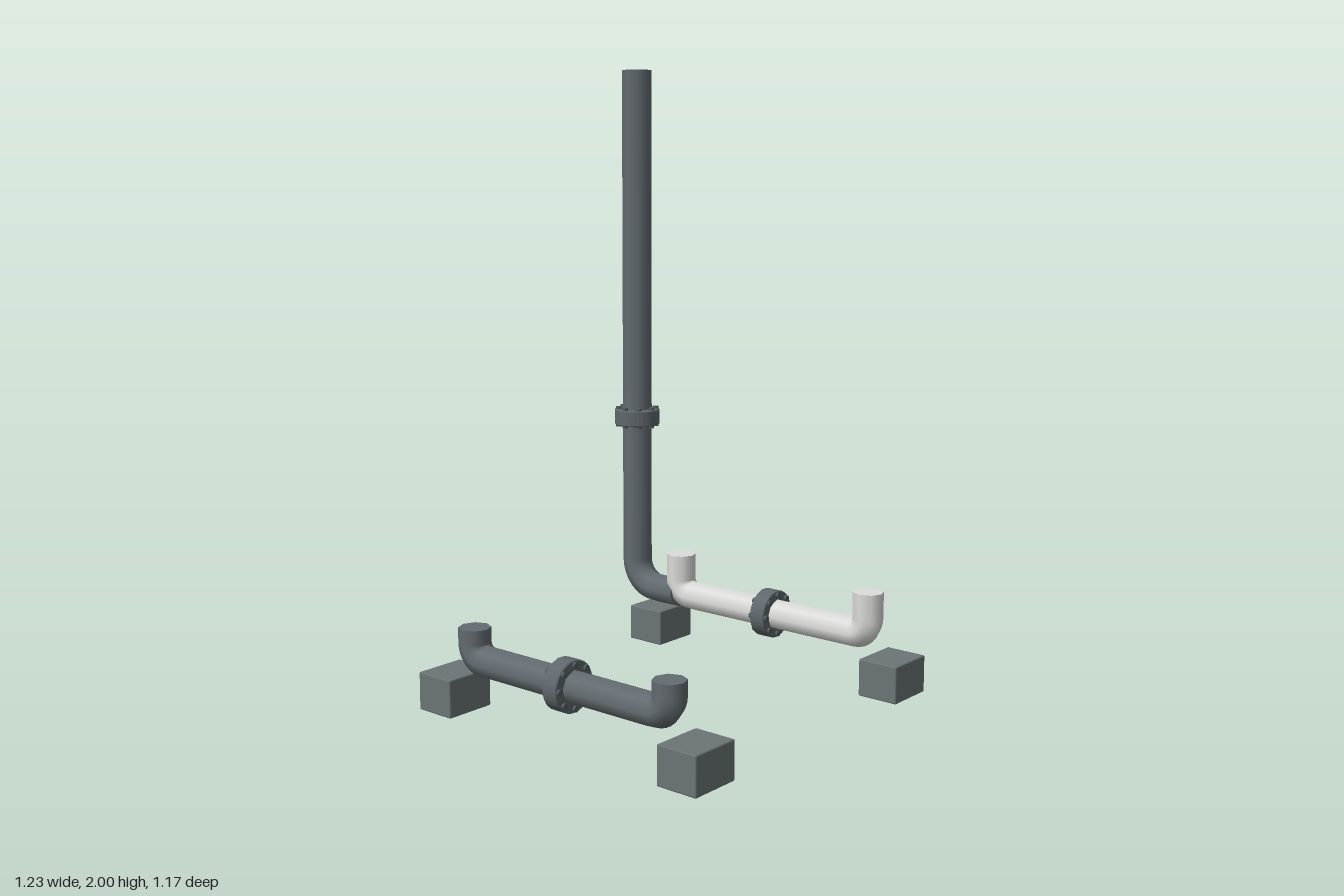
import * as THREE from 'three';
import { RoundedBoxGeometry } from 'three/addons/geometries/RoundedBoxGeometry.js';

const mat = (name, color) => new THREE.MeshStandardMaterial({ name, color });

export function createModel() {
  const steel = mat('dark steel', 0x646c71);
  const white = mat('pale pipe', 0xdcdcda);
  const concrete = mat('grey block', 0x6c7477);
  const iron = mat('flange iron', 0x5f676c);
  const boltSteel = mat('bolt steel', 0x555d62);

  const R = 0.051;      // pipe radius
  const Y = 0.178;      // height of the horizontal runs
  const Z = 0.497;      // distance of each run from the middle
  const model = new THREE.Group();

  const add = (parent, name, geometry, material, x, y, z) => {
    const m = new THREE.Mesh(geometry, material);
    m.name = name;
    m.position.set(x, y, z);
    parent.add(m);
    return m;
  };

  // Eight-sided straight pipes
  const upright = (parent, name, material, x, y0, y1) =>
    add(parent, name, new THREE.CylinderGeometry(R, R, y1 - y0, 8), material, x, (y0 + y1) / 2, 0);
  const level = (parent, name, material, x0, x1) => {
    const m = add(parent, name, new THREE.CylinderGeometry(R, R, x1 - x0, 8), material, (x0 + x1) / 2, Y, 0);
    m.rotation.z = Math.PI / 2;
  };

  // Quarter bend joining an upright at x to a level run; side -1 is the left end
  const elbow = (parent, name, material, x, bend, side) => {
    const m = add(parent, name, new THREE.TorusGeometry(bend, R, 8, 8, Math.PI / 2), material,
      x - side * bend, Y + bend, 0);
    m.rotation.z = side < 0 ? Math.PI : -Math.PI / 2;
  };

  // Disc with eight through bolts, axis along y
  const flange = (parent, name, x, y) => {
    const g = new THREE.Group();
    g.name = name;
    g.position.set(x, y, 0);
    const profile = [[0, -0.028], [0.077, -0.028], [0.08, -0.025], [0.08, 0.025], [0.077, 0.028], [0, 0.028]]
      .map(([r, h]) => new THREE.Vector2(r, h));
    const disc = new THREE.LatheGeometry(profile, 32).toNonIndexed();
    disc.computeVertexNormals();
    add(g, name + 'Disc', disc, iron, 0, 0, 0);
    const boltGeometry = new THREE.CylinderGeometry(0.01, 0.01, 0.072, 8);
    for (let i = 0; i < 8; i++) {
      const a = i * Math.PI / 4;
      add(g, 'bolt', boltGeometry, boltSteel, 0.066 * Math.cos(a), 0, 0.066 * Math.sin(a));
    }
    parent.add(g);
    return g;
  };

  // Level run with a riser at each end and a flange in the middle
  const run = (name, material, z, top) => {
    const g = new THREE.Group();
    g.name = name;
    g.position.z = z;
    const left = -0.333, right = 0.449, bend = 0.053;
    level(g, 'levelPipe', material, left + bend, right - bend);
    [[left, -1], [right, 1]].forEach(([x, side]) => {
      elbow(g, 'elbow', material, x, bend, side);
      upright(g, 'riser', material, x, Y + bend, top);
    });
    flange(g, 'runFlange', 0.059, Y).rotation.z = Math.PI / 2;
    model.add(g);
  };
  run('frontRun', steel, Z, 0.278);
  run('backRun', white, -Z, 0.32);

  // Tall stack feeding the back run
  const stack = new THREE.Group();
  stack.name = 'stack';
  stack.position.z = -Z;
  const sx = -0.537, bend = 0.095;
  upright(stack, 'stackPipe', steel, sx, Y + bend, 2);
  elbow(stack, 'stackElbow', steel, sx, bend, -1);
  level(stack, 'stackFeed', steel, sx + bend, -0.34);
  flange(stack, 'stackFlange', sx, 0.789);
  model.add(stack);

  // Support blocks
  const block = new RoundedBoxGeometry(0.14, 0.122, 0.172, 1, 0.005);
  for (const x of [-0.427, 0.543])
    for (const z of [-Z, Z]) add(model, 'supportBlock', block, concrete, x, 0.061, z);

  return model;
}
